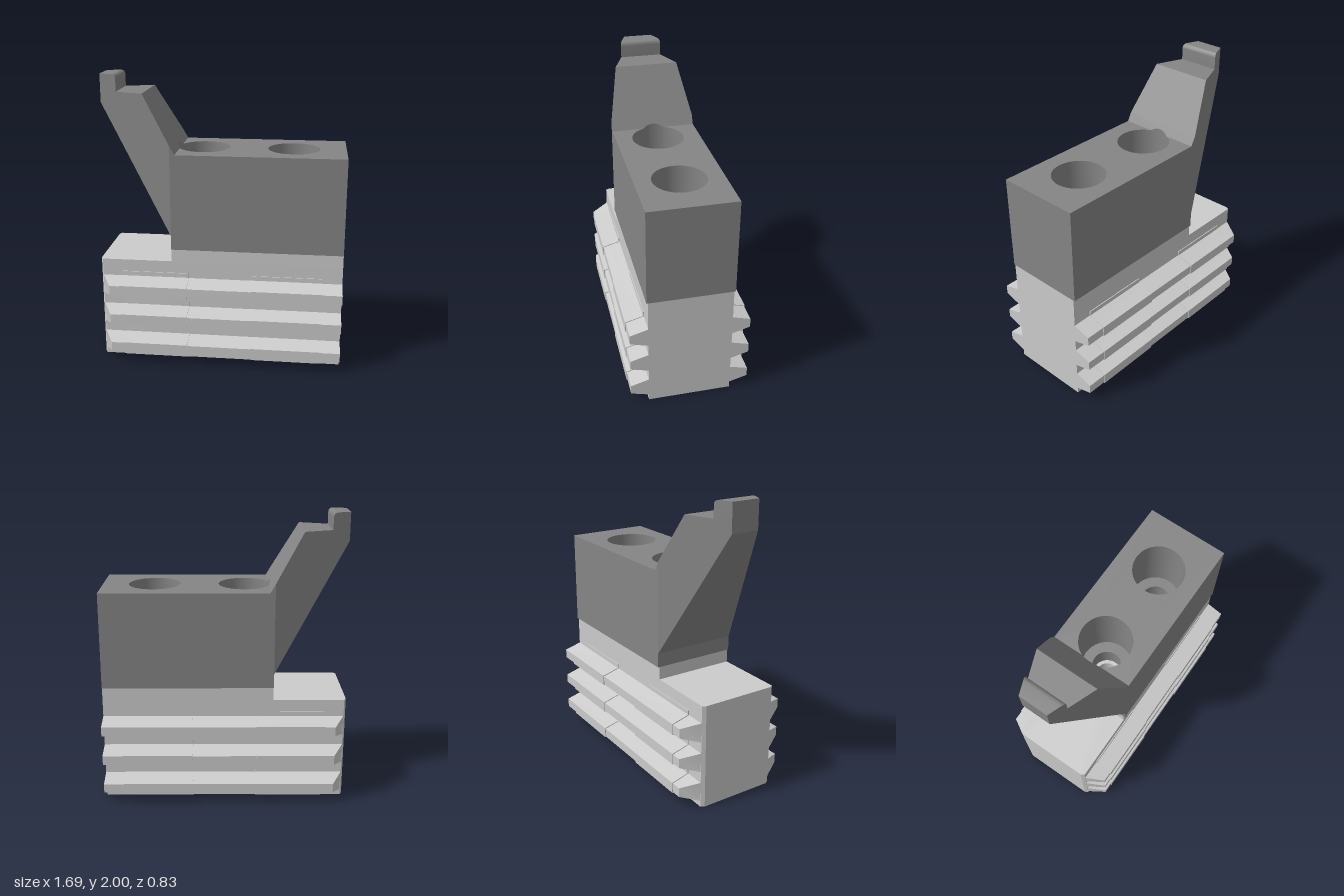
import * as THREE from 'three';
import { toCreasedNormals } from 'three/addons/utils/BufferGeometryUtils.js';

const HOLES = [-0.14, 0.485];      // x of the two vertical bores
const HALF = 0.295;                // half depth of the upper block

const light = new THREE.MeshStandardMaterial({ color: 0xcccccc, side: THREE.DoubleSide });
const dark = new THREE.MeshStandardMaterial({ color: 0x858585, side: THREE.DoubleSide });

const polygon = (pts) => new THREE.Shape(pts.map(([x, y]) => new THREE.Vector2(x, y)));

// Move every vertex of a geometry by a rule
function reshape(geo, rule) {
  const p = geo.attributes.position;
  const v = new THREE.Vector3();
  for (let i = 0; i < p.count; i++) {
    rule(v.fromBufferAttribute(p, i));
    p.setXYZ(i, v.x, v.y, v.z);
  }
  geo.computeVertexNormals();
  return geo;
}

// Plan outline raised from y0 to y1
function slab(shape, y0, y1) {
  const geo = new THREE.ExtrudeGeometry(shape, { depth: y1 - y0, bevelEnabled: false, curveSegments: 40 });
  return geo.rotateX(-Math.PI / 2).translate(0, y0, 0);
}

function bore(shape, r, xs = HOLES) {
  for (const x of xs) shape.holes.push(new THREE.Path().absarc(x, 0, r, 0, Math.PI * 2, true));
  return shape;
}

const rect = (x0, x1, w) => polygon([[x0, -w], [x1, -w], [x1, w], [x0, w]]);

// Tapered rib running along x on side s, grown by d, optionally cut at its left end
function ribGeometry(s, x0, x1, y, d, cut) {
  const z = 0.408 + d;
  const shape = polygon([
    [-s * 0.25, y - 0.011 - d], [-s * 0.285, y - d], [-s * z, y + 0.035 - d],
    [-s * z, y + 0.1 + d], [-s * 0.285, y + 0.135 + d], [-s * 0.25, y + 0.146 + d],
  ]);
  const geo = new THREE.ExtrudeGeometry(shape, { depth: x1 - x0, bevelEnabled: false });
  geo.rotateY(Math.PI / 2).translate(x0, 0, 0);
  if (cut) reshape(geo, (v) => { v.x = Math.max(v.x, -0.845 + (Math.abs(v.z) - 0.26) * 0.567); });
  return geo;
}

export function createModel() {
  const model = new THREE.Group();
  const add = (parent, name, geo, mat) => {
    const mesh = new THREE.Mesh(toCreasedNormals(geo, 0.5), mat);
    mesh.name = name;
    parent.add(mesh);
  };
  const group = (name) => {
    const g = new THREE.Group();
    g.name = name;
    model.add(g);
    return g;
  };

  // Base body with chamfered left end, solid below and bored above
  const base = group('base');
  const plan = () => polygon([
    [-0.845, -0.26], [-0.831, -0.285], [0.845, -0.285],
    [0.845, 0.285], [-0.831, 0.285], [-0.845, 0.26],
  ]);
  add(base, 'baseBottom', slab(plan(), 0, 0.25), light);
  add(base, 'baseBody', slab(bore(plan(), 0.08), 0.25, 0.73), light);
  add(base, 'neck', slab(bore(rect(-0.34, 0.845, 0.285), 0.08), 0.73, 0.82), light);

  // Conical floors of the bores
  for (const x of HOLES) {
    const floor = new THREE.LatheGeometry([new THREE.Vector2(0, 0.251), new THREE.Vector2(0.08, 0.3)], 40);
    add(base, 'boreFloor', floor.translate(x, 0, 0), light);
  }

  // Three ribs on each side, with slightly raised grip sections
  const ribs = group('ribs');
  for (const s of [1, -1]) {
    for (const y of [0.045, 0.26, 0.475]) {
      add(ribs, 'rib', ribGeometry(s, -0.845, 0.845, y, 0, true), light);
      for (const [x0, x1] of [[-0.69, -0.22], [0.22, 0.705]])
        add(ribs, 'raisedRib', ribGeometry(s, x0, x1, y, 0.005, false), light);
    }
    for (const [x0, x1] of [[-0.69, -0.22], [0.22, 0.705]]) {
      const panel = new THREE.BoxGeometry(x1 - x0, 0.645, 0.04);
      add(ribs, 'raisedPanel', panel.translate((x0 + x1) / 2, 0.3225, s * 0.271), light);
    }
  }

  // Upper block: narrow bores below, wide counterbores above
  const block = group('upperBlock');
  const shelf = 1.0, top = 1.49, edge = -0.305, r = 0.18;
  add(block, 'blockLower', slab(bore(rect(-0.34, 0.845, HALF), 0.105), 0.82, shelf), dark);

  // The first counterbore runs slightly past the foot of the arm
  const a = Math.acos((HOLES[0] - edge) / r);
  const upper = polygon([[edge, -HALF], [0.845, -HALF], [0.845, HALF], [edge, HALF]]);
  upper.absarc(HOLES[0], 0, r, Math.PI - a, a - Math.PI, true);
  add(block, 'blockUpper', slab(bore(upper, r, [HOLES[1]]), shelf, top), dark);

  const foot = polygon([[edge, HALF], [-0.34, HALF], [-0.34, -HALF], [edge, -HALF]]);
  foot.absarc(HOLES[0], 0, r, Math.PI + a, Math.PI - a, true);
  add(block, 'armFoot', reshape(slab(foot, shelf, top), (v) => {
    if (v.y > top - 0.01) v.y += Math.max(0, edge - v.x) * 1.756;
  }), dark);

  // Slanted arm with a rounded tab, narrowing towards its tip
  const arm = polygon([[-0.34, 0.92], [-0.34, 1.5515], [-0.53, 1.885], [-0.725, 1.885], [-0.725, 1.965]]);
  arm.quadraticCurveTo(-0.725, 2, -0.76, 2);
  arm.lineTo(-0.845, 2);
  arm.lineTo(-0.845, 1.805);
  const armGeo = new THREE.ExtrudeGeometry(arm, { depth: 2, bevelEnabled: false, curveSegments: 8 });
  armGeo.translate(0, 0, -1);
  add(block, 'arm', reshape(armGeo, (v) => { v.z *= HALF + (v.x + 0.34) * 0.386; }), dark);

  return model;
}
